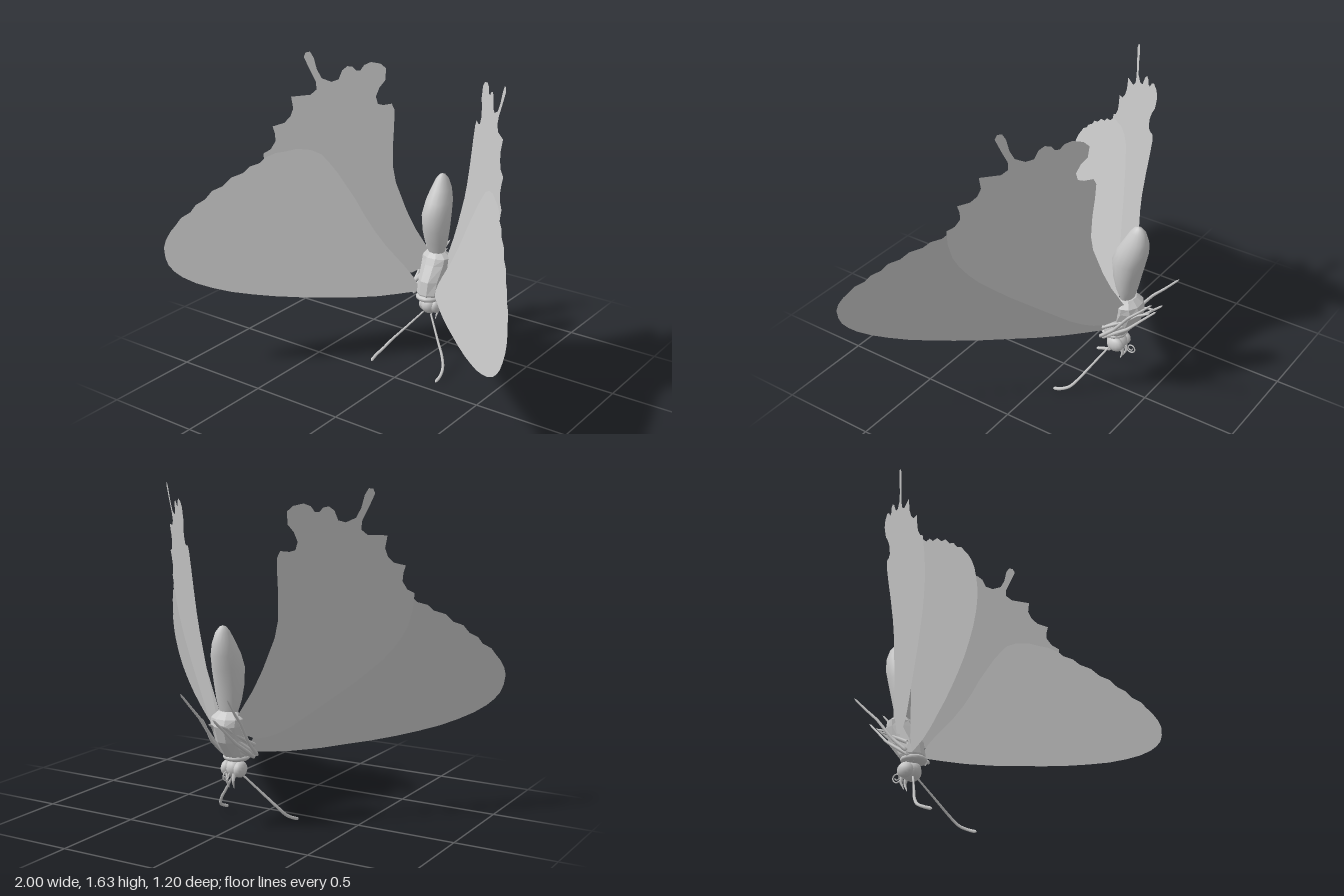
import * as THREE from 'three';

const shell = new THREE.MeshStandardMaterial({ color: 0xc8c8c8 });
shell.name = 'pale grey';
const membrane = new THREE.MeshStandardMaterial({ color: 0xc8c8c8, side: THREE.DoubleSide });
membrane.name = 'pale grey wing';

const V = (p, s = 1) => new THREE.Vector3(p[0] * s, p[1], p[2]);

// Body section from elliptical rings [y, z, radiusX, radiusZ], listed upwards
function loft(name, rings, sides, faceted) {
  const pos = [], idx = [];
  for (const [y, z, rx, rz] of rings)
    for (let j = 0; j < sides; j++) {
      const a = (j / sides) * Math.PI * 2;
      pos.push(rx * Math.cos(a), y, z + rz * Math.sin(a));
    }
  for (let i = 0; i < rings.length - 1; i++)
    for (let j = 0; j < sides; j++) {
      const a = i * sides + j, b = i * sides + (j + 1) % sides;
      idx.push(a, a + sides, b, b, a + sides, b + sides);
    }
  let geo = new THREE.BufferGeometry();
  geo.setAttribute('position', new THREE.Float32BufferAttribute(pos, 3));
  geo.setIndex(idx);
  if (faceted) geo = geo.toNonIndexed();
  geo.computeVertexNormals();
  return named(name, geo, shell);
}

function named(name, geo, mat) {
  const mesh = new THREE.Mesh(geo, mat);
  mesh.name = name;
  return mesh;
}

function ellipsoid(name, x, y, z, rx, ry, rz) {
  const geo = new THREE.SphereGeometry(1, 14, 10).scale(rx, ry, rz).translate(x, y, z);
  return named(name, geo, shell);
}

// Tube whose radius runs from r0 to r1, with ends closed to a point
function limb(name, points, s, r0, r1, tension = 0.2) {
  const curve = new THREE.CatmullRomCurve3(points.map(p => V(p, s)), false, 'catmullrom', tension);
  const n = points.length * 6, sides = 6;
  const geo = new THREE.TubeGeometry(curve, n, 1, sides);
  const p = geo.attributes.position, v = new THREE.Vector3();
  for (let i = 0; i <= n; i++) {
    const c = curve.getPointAt(i / n);
    const r = i === 0 || i === n ? 0.0005 : r0 + (r1 - r0) * i / n;
    for (let j = 0; j <= sides; j++) {
      const k = i * (sides + 1) + j;
      v.fromBufferAttribute(p, k).sub(c).multiplyScalar(r).add(c);
      p.setXYZ(k, v.x, v.y, v.z);
    }
  }
  return named(name, geo, shell);
}

// Flat outline in x and y, laid on the sloping plane z = a + b x + c y
function wing(name, outline, s, a, b, c) {
  const shape = new THREE.Shape(outline.map(p => new THREE.Vector2(p[0], p[1])));
  const geo = new THREE.ShapeGeometry(shape);
  const p = geo.attributes.position;
  for (let i = 0; i < p.count; i++) {
    const x = p.getX(i), y = p.getY(i);
    p.setXYZ(i, x * s, y, a + b * x + c * y);
  }
  if (s < 0) {
    const t = geo.index.array;
    for (let i = 0; i < t.length; i += 3) [t[i], t[i + 1]] = [t[i + 1], t[i]];
  }
  geo.computeVertexNormals();
  return named(name, geo, membrane);
}

const foreOutline = [
  [0.05, 0.4], [0.08, 0.46], [0.12, 0.52], [0.2, 0.63], [0.25, 0.71], [0.3, 0.8], [0.34, 0.88],
  [0.38, 0.95], [0.42, 1.02], [0.46, 1.08], [0.49, 1.12], [0.53, 1.145], [0.58, 1.155],
  [0.62, 1.145], [0.655, 1.14], [0.69, 1.12], [0.705, 1.095], [0.74, 1.08], [0.76, 1.05],
  [0.8, 1.03], [0.825, 0.99], [0.86, 0.97], [0.88, 0.93], [0.91, 0.905], [0.925, 0.87],
  [0.955, 0.845], [0.97, 0.81], [0.985, 0.78], [0.997, 0.74], [1, 0.7], [0.99, 0.65],
  [0.975, 0.61], [0.95, 0.575], [0.92, 0.545], [0.87, 0.51], [0.81, 0.48], [0.74, 0.452],
  [0.66, 0.43], [0.58, 0.412], [0.48, 0.395], [0.38, 0.384], [0.3, 0.374], [0.2, 0.37],
  [0.13, 0.374], [0.06, 0.38],
];
const hindOutline = [
  [0.05, 0.5], [0.114, 0.46], [0.154, 0.465], [0.195, 0.482], [0.239, 0.51], [0.32, 0.58],
  [0.411, 0.66], [0.47, 0.712], [0.527, 0.77], [0.575, 0.82], [0.612, 0.87], [0.645, 0.925],
  [0.67, 0.98], [0.69, 1.06], [0.7, 1.14], [0.675, 1.16], [0.66, 1.2], [0.665, 1.24],
  [0.675, 1.275], [0.635, 1.29], [0.615, 1.32], [0.607, 1.36], [0.618, 1.42], [0.55, 1.425],
  [0.53, 1.45], [0.535, 1.49], [0.56, 1.55], [0.585, 1.615], [0.58, 1.637], [0.565, 1.64],
  [0.55, 1.61], [0.535, 1.55], [0.515, 1.505], [0.48, 1.485], [0.455, 1.495], [0.445, 1.54],
  [0.428, 1.56], [0.408, 1.555], [0.395, 1.535], [0.38, 1.535], [0.368, 1.562], [0.345, 1.575],
  [0.31, 1.565], [0.288, 1.54], [0.287, 1.48], [0.305, 1.445], [0.315, 1.4], [0.305, 1.362],
  [0.285, 1.355], [0.255, 1.36], [0.243, 1.33], [0.238, 1.25], [0.235, 1.15], [0.226, 1.03],
  [0.21, 0.95], [0.19, 0.89], [0.16, 0.8], [0.12, 0.7], [0.08, 0.62], [0.05, 0.56],
];

// Legs lie folded against the underside with feet trailing back
const legs = {
  frontLeg: [[0.05, 0.42, -0.38], [0.09, 0.36, -0.29], [0.07, 0.45, -0.42], [0.05, 0.52, -0.49], [0.03, 0.59, -0.56]],
  middleLeg: [[0.05, 0.46, -0.4], [0.1, 0.375, -0.29], [0.105, 0.45, -0.37], [0.115, 0.56, -0.455], [0.12, 0.62, -0.515], [0.13, 0.7, -0.59]],
  hindLeg: [[0.05, 0.48, -0.4], [0.09, 0.42, -0.29], [0.06, 0.49, -0.41], [0.04, 0.53, -0.46], [0.02, 0.555, -0.52]],
};
const antenna = [[0.02, 0.27, -0.3], [0.11, 0.16, -0.235], [0.16, 0.1, -0.2], [0.19, 0.055, -0.165], [0.205, 0.03, -0.12], [0.205, 0.012, -0.072]];

export function createModel() {
  const model = new THREE.Group();
  model.name = 'butterfly';

  // Body, head down
  model.add(loft('abdomen', [
    [0.56, -0.38, 0.002, 0.002], [0.565, -0.38, 0.035, 0.025], [0.6, -0.378, 0.05, 0.035],
    [0.65, -0.375, 0.064, 0.052], [0.72, -0.373, 0.073, 0.07], [0.8, -0.378, 0.076, 0.085],
    [0.87, -0.4, 0.068, 0.08], [0.93, -0.418, 0.052, 0.062], [0.98, -0.425, 0.032, 0.04],
    [1.003, -0.425, 0.015, 0.02], [1.01, -0.425, 0.001, 0.001]], 16, false));
  model.add(loft('thorax', [
    [0.33, -0.31, 0.001, 0.001], [0.34, -0.31, 0.05, 0.045], [0.38, -0.32, 0.068, 0.068],
    [0.45, -0.353, 0.072, 0.09], [0.53, -0.388, 0.082, 0.08], [0.565, -0.39, 0.084, 0.064],
    [0.595, -0.385, 0.05, 0.035], [0.6, -0.385, 0.001, 0.001]], 10, true));
  model.add(ellipsoid('collar', 0, 0.358, -0.31, 0.068, 0.025, 0.068));
  model.add(ellipsoid('head', 0, 0.305, -0.325, 0.045, 0.048, 0.055));

  // Coiled feeding tube
  const coil = [[0, 0.29, -0.36]];
  for (let i = 0; i <= 16; i++) {
    const a = i * 0.6, r = 0.028 - i * 0.0012;
    coil.push([0, 0.285 - r * Math.sin(a), -0.408 + r * Math.cos(a)]);
  }
  model.add(limb('proboscis', coil, 1, 0.004, 0.003, 0.5));

  // Paired parts
  for (const s of [1, -1]) {
    const side = new THREE.Group();
    side.name = s > 0 ? 'leftSide' : 'rightSide';
    side.add(wing('forewing', foreOutline, s, -0.231, 1.039, -0.289));
    side.add(wing('hindwing', hindOutline, s, -0.356, 1.027, -0.176));
    side.add(ellipsoid('eye', 0.036 * s, 0.303, -0.335, 0.028, 0.04, 0.046));
    side.add(limb('antenna', antenna, s, 0.005, 0.009, 0.5));
    side.add(limb('palp', [[0.018, 0.29, -0.36], [0.018, 0.25, -0.37], [0.014, 0.21, -0.355]], s, 0.013, 0.002));
    for (const [name, path] of Object.entries(legs)) side.add(limb(name, path, s, 0.012, 0.005));
    model.add(side);
  }
  return model;
}
